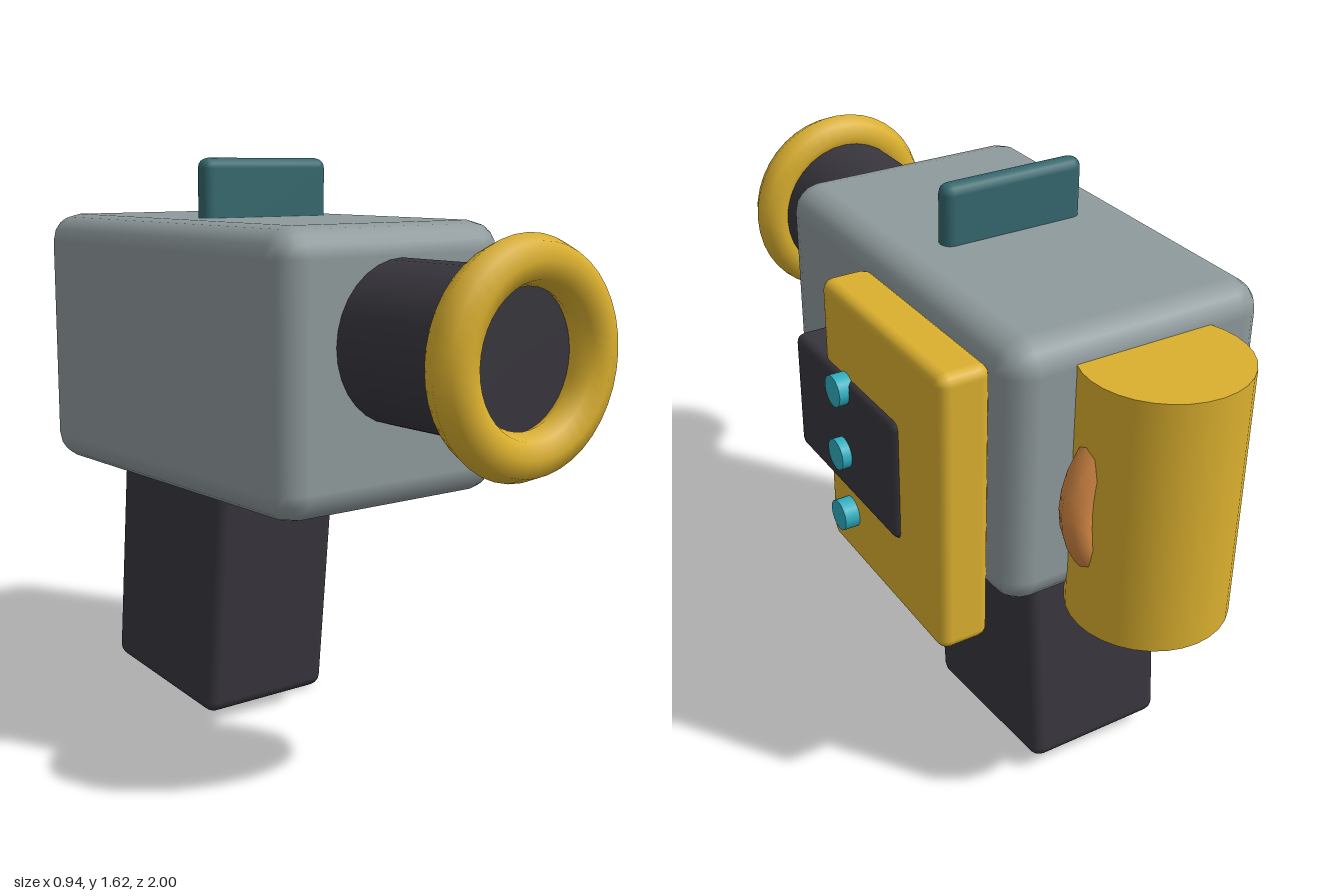
import * as THREE from 'three';
import { RoundedBoxGeometry } from 'three/addons/geometries/RoundedBoxGeometry.js';

function material(name, color) {
  const m = new THREE.MeshStandardMaterial({ color });
  m.name = name;
  return m;
}

export function createModel() {
  const grey = material('bodyGrey', 0x8f9a9c);
  const yellow = material('yellow', 0xdbb02f);
  const dark = material('charcoal', 0x38363d);
  const teal = material('darkTeal', 0x34686e);
  const cyan = material('cyan', 0x2eaebf);
  const orange = material('orange', 0xd08644);

  const model = new THREE.Group();
  model.name = 'handheldCamera';
  const axisX = -0.093; // centre line of body, lens and grip

  const add = (name, geometry, mat, x, y, z) => {
    const mesh = new THREE.Mesh(geometry, mat);
    mesh.name = name;
    mesh.position.set(x, y, z);
    model.add(mesh);
    return mesh;
  };
  const box = (w, h, d, r) => new RoundedBoxGeometry(w, h, d, 2, r);

  // Main housing and tilted grip
  add('body', box(0.755, 0.745, 1.215, 0.08), grey, axisX, 1.083, -0.103);
  add('grip', box(0.425, 0.86, 0.535, 0.035), dark, axisX, 0.455, -0.313).rotation.x = 0.1;

  // Top fin
  add('topFin', box(0.425, 0.26, 0.06, 0.028), teal, axisX, 1.49, -0.1);

  // Lens barrel with a thick rim around its recessed end
  add('lensBarrel', new THREE.CylinderGeometry(0.215, 0.215, 0.51, 32), dark, axisX, 1.155, 0.655)
    .rotation.x = Math.PI / 2;
  add('lensRim', new THREE.TorusGeometry(0.233, 0.062, 8, 40), yellow, axisX, 1.155, 0.938);

  // Rear canister with a ring showing on both sides
  add('rearCanister', new THREE.CylinderGeometry(0.213, 0.213, 0.71, 32), yellow, axisX, 1.03, -0.787);
  add('canisterRing', new THREE.TorusGeometry(0.232, 0.044, 8, 32), orange, axisX, 1.03, -0.783);

  // Side plate, control block and knobs
  add('sidePlate', box(0.142, 0.805, 0.625, 0.03), yellow, 0.354, 0.994, -0.315);
  add('controlBlock', box(0.18, 0.355, 0.57, 0.025), dark, 0.35, 0.993, -0.135);
  for (const y of [1.135, 0.94, 0.743]) {
    add('knob', new THREE.CylinderGeometry(0.044, 0.044, 0.08, 16), cyan, 0.427, y, -0.137)
      .rotation.z = -Math.PI / 2;
  }

  return model;
}
